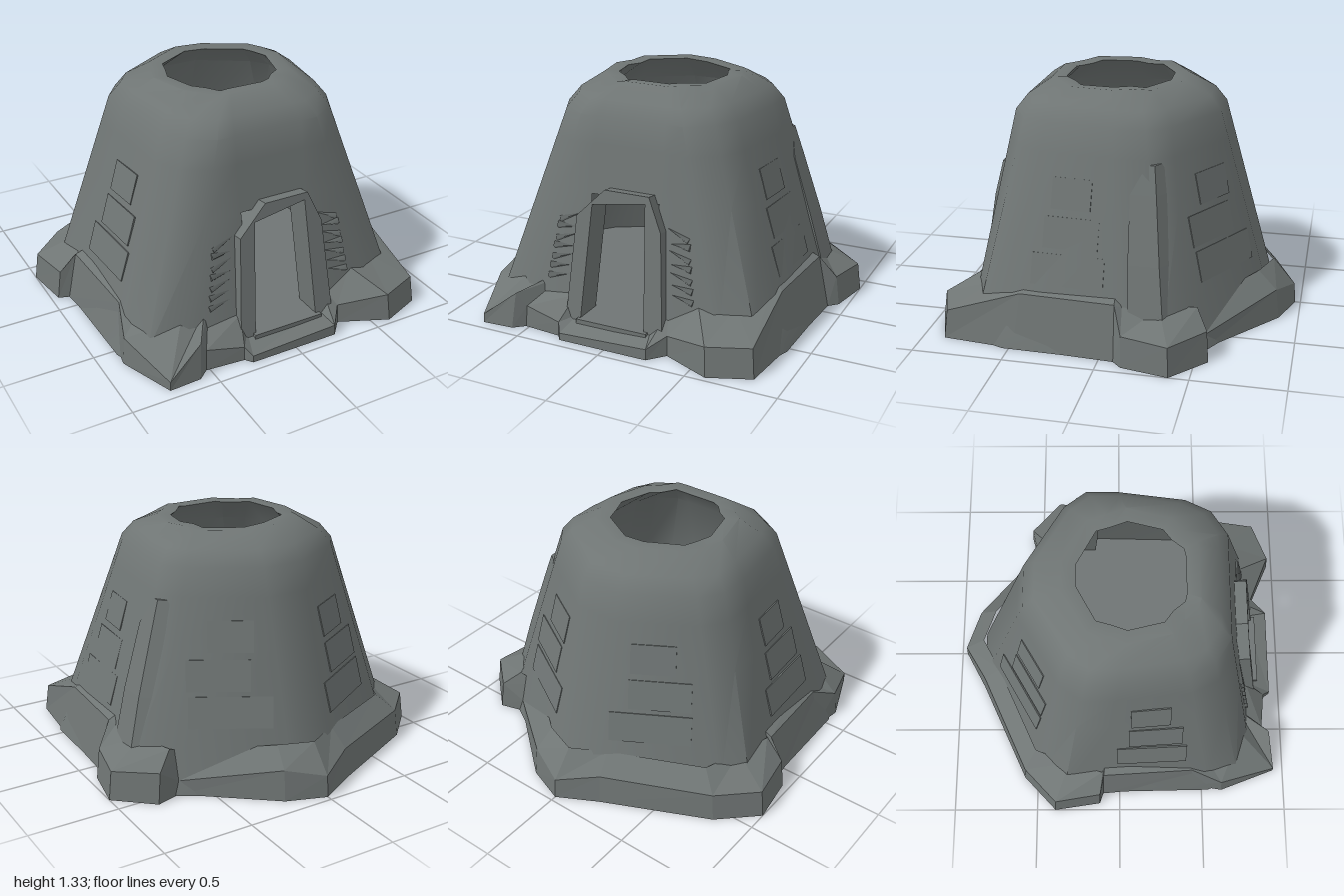
import * as THREE from 'three';
import { toCreasedNormals } from 'three/addons/utils/BufferGeometryUtils.js';

const stone = new THREE.MeshStandardMaterial({ color: 0x6f7574 });
stone.name = 'grey stone';

// Body plan: [x, z] at y 0.25 then [x, z] at y 1.2, from the door round to the back
const HALF = [
  [0.2, 0.76, 0.2, 0.59], [0.55, 0.76, 0.29, 0.59], [0.73, 0.68, 0.43, 0.5], [0.8, 0.5, 0.5, 0.36],
  [0.82, -0.1, 0.55, 0.0], [0.83, -0.31, 0.55, -0.18], [0.72, -0.44, 0.46, -0.3], [0.13, -0.78, 0.12, -0.51],
];
const PLAN = [...HALF, ...HALF.map(([a, b, c, d]) => [-a, b, -c, d]).reverse()];

function ring(y, scale = 1, planY = y) {
  const t = (planY - 0.25) / 0.95;
  return PLAN.map(([a, b, c, d]) => {
    const x = a + (c - a) * t, z = b + (d - b) * t;
    return [x * scale, y, 0.04 + (z - 0.04) * scale];
  });
}

// Roughly round ring for the roof opening
function roundRing(y, radius) {
  return PLAN.map(([, , x, z], i) => {
    const a = Math.atan2(z - 0.04, x);
    const r = radius + 0.012 * Math.sin(i * 2.3);
    return [r * Math.cos(a), y + 0.006 * Math.sin(i * 1.7), 0.065 + r * Math.sin(a)];
  });
}

// Skin a stack of rings; skip(level, side) leaves openings
function loft(rings, { skip = () => false, capStart = false, capEnd = false } = {}) {
  const pos = [];
  const n = rings[0].length;
  const tri = (...p) => p.forEach((v) => pos.push(...v));
  for (let l = 0; l < rings.length - 1; l++) {
    for (let i = 0; i < n; i++) {
      if (skip(l, i)) continue;
      const j = (i + 1) % n;
      const [a, b, c, d] = [rings[l][i], rings[l][j], rings[l + 1][j], rings[l + 1][i]];
      tri(a, b, c);
      tri(a, c, d);
    }
  }
  const cap = (r, flip) => {
    const m = [0, 1, 2].map((k) => r.reduce((s, p) => s + p[k], 0) / n);
    r.forEach((p, i) => {
      const q = r[(i + 1) % n];
      if (flip) tri(m, q, p); else tri(m, p, q);
    });
  };
  if (capStart) cap(rings[0], true);
  if (capEnd) cap(rings[rings.length - 1], false);
  const g = new THREE.BufferGeometry();
  g.setAttribute('position', new THREE.Float32BufferAttribute(pos, 3));
  g.computeVertexNormals();
  return g;
}

export function createModel() {
  const model = new THREE.Group();
  model.name = 'stoneHut';
  const add = (name, geometry, parent = model) => {
    const m = new THREE.Mesh(geometry, stone);
    m.name = name;
    parent.add(m);
    return m;
  };

  // Hollow walls: up the outside, over the rim, down the inside to the floor
  const rings = [
    ring(0), ring(0.1), ring(0.76), ring(1.02), ring(1.17),
    ring(1.25, 0.9, 1.2), roundRing(1.325, 0.385), roundRing(1.32, 0.305),
    ring(1.18, 0.8), ring(0.76, 0.86), ring(0.1, 0.88),
  ];
  const doorSide = PLAN.length - 1;
  const walls = loft(rings, { skip: (l, i) => i === doorSide && (l === 1 || l === 9), capEnd: true });
  add('walls', toCreasedNormals(walls, 0.7));

  // Rocky footing: [x, z, edge height, inner height]
  const footing = [
    [0, -0.97, 0.12, 0.27], [0.22, -0.89, 0.17, 0.27], [0.66, -0.53, 0.08, 0.2], [0.8, -0.57, 0.17, 0.26],
    [1, -0.39, 0.16, 0.27], [0.95, -0.13, 0.17, 0.28], [0.9, -0.08, 0.3, 0.33], [0.87, 0.48, 0.3, 0.33],
    [0.83, 0.88, 0.16, 0.26], [0.6, 0.97, 0.16, 0.27], [0.33, 0.85, 0.11, 0.2], [0.25, 0.94, 0.06, 0.1],
    [-0.27, 0.94, 0.04, 0.1], [-0.3, 0.9, 0.08, 0.2], [-0.52, 0.88, 0.12, 0.24], [-0.58, 0.93, 0.2, 0.25],
    [-0.76, 0.94, 0.05, 0.25], [-0.88, 0.62, 0.15, 0.26], [-0.85, 0.45, 0.25, 0.3], [-0.9, -0.1, 0.28, 0.31],
    [-0.96, -0.12, 0.17, 0.27], [-1, -0.39, 0.16, 0.27], [-0.8, -0.58, 0.16, 0.26], [-0.22, -0.85, 0.17, 0.27],
  ].reverse();
  add('rockFooting', loft([
    footing.map(([x, z]) => [x, 0, z]),
    footing.map(([x, z, h]) => {
      const s = 1 - 0.75 * h * h;
      return [x * s, h, z * s];
    }),
    footing.map(([x, z, , h]) => {
      const s = Math.hypot(x, z) > 1 ? 0.77 : 0.86;
      return [x * s, h, z * s];
    }),
  ], { capStart: true }));

  // Leaning door surround, open at the foot
  const arch = new THREE.Shape([
    [-0.29, 0], [-0.2, 0], [-0.16, 0.71], [0.15, 0.76], [0.19, 0], [0.3, 0],
    [0.25, 0.62], [0.17, 0.8], [-0.09, 0.8], [-0.25, 0.64],
  ].map(([x, y]) => new THREE.Vector2(x, y)).reverse());
  const surround = add('doorSurround', new THREE.ExtrudeGeometry(arch, { depth: 0.16, bevelEnabled: false }));
  surround.position.set(0, 0, 0.69);
  surround.rotation.x = -0.15;
  const threshold = add('threshold', new THREE.BoxGeometry(0.42, 0.1, 0.2));
  threshold.position.set(0, 0.052, 0.76);

  // Pointed buttress on the left rear corner
  const buttress = [[0, 0.84, -0.3, 0.14], [0.5, 0.715, -0.25, 0.12], [0.85, 0.615, -0.22, 0.1], [1.0, 0.595, -0.23, 0.03]];
  add('buttress', loft(buttress.map(([y, x, z, r]) => [
    [x + r * 0.4, y, z + r], [x + r * 0.4, y, z - r * 0.4], [x - r, y, z - r * 1.4], [x - r, y, z + r],
  ]), { capEnd: true }));

  // Barely proud stone courses on the four plain walls
  const courses = new THREE.Group();
  courses.name = 'stoneCourses';
  model.add(courses);
  [3, 6, 8, 11].forEach((side, w) => {
    [0.43, 0.62, 0.82].forEach((y, k) => {
      const at = (h, i) => new THREE.Vector3(...ring(h)[i]);
      const a = at(y, side), b = at(y, side + 1);
      const low = at(y - 0.1, side).add(at(y - 0.1, side + 1));
      const high = at(y + 0.1, side).add(at(y + 0.1, side + 1));
      const u = b.clone().sub(a);
      const length = u.length();
      u.normalize();
      const n = u.clone().cross(high.sub(low)).normalize();
      const v = n.clone().cross(u);
      const block = add('stoneCourse', new THREE.BoxGeometry(length * (0.72 - 0.12 * k), 0.17, 0.01), courses);
      block.quaternion.setFromRotationMatrix(new THREE.Matrix4().makeBasis(u, v, n));
      block.position.lerpVectors(a, b, 0.5 + 0.06 * Math.sin(w * 2 + k * 3));
    });
  });

  // Broken masonry either side of the door, nearly flush with the wall
  const rubble = new THREE.Group();
  rubble.name = 'brokenMasonry';
  model.add(rubble);
  for (const s of [-1, 1]) {
    for (let k = 0; k < 7; k++) {
      const y = 0.29 + k * 0.055;
      const shard = add('shard', new THREE.ConeGeometry(0.04, 0.13, 3), rubble);
      shard.position.set(s * (0.37 - k * 0.008), y, 0.757 - (y - 0.25) * 0.18);
      shard.rotation.set(0, 0, s * (1.35 + 0.25 * Math.sin(k * 3)));
      shard.scale.z = 0.6;
    }
  }
  return model;
}
